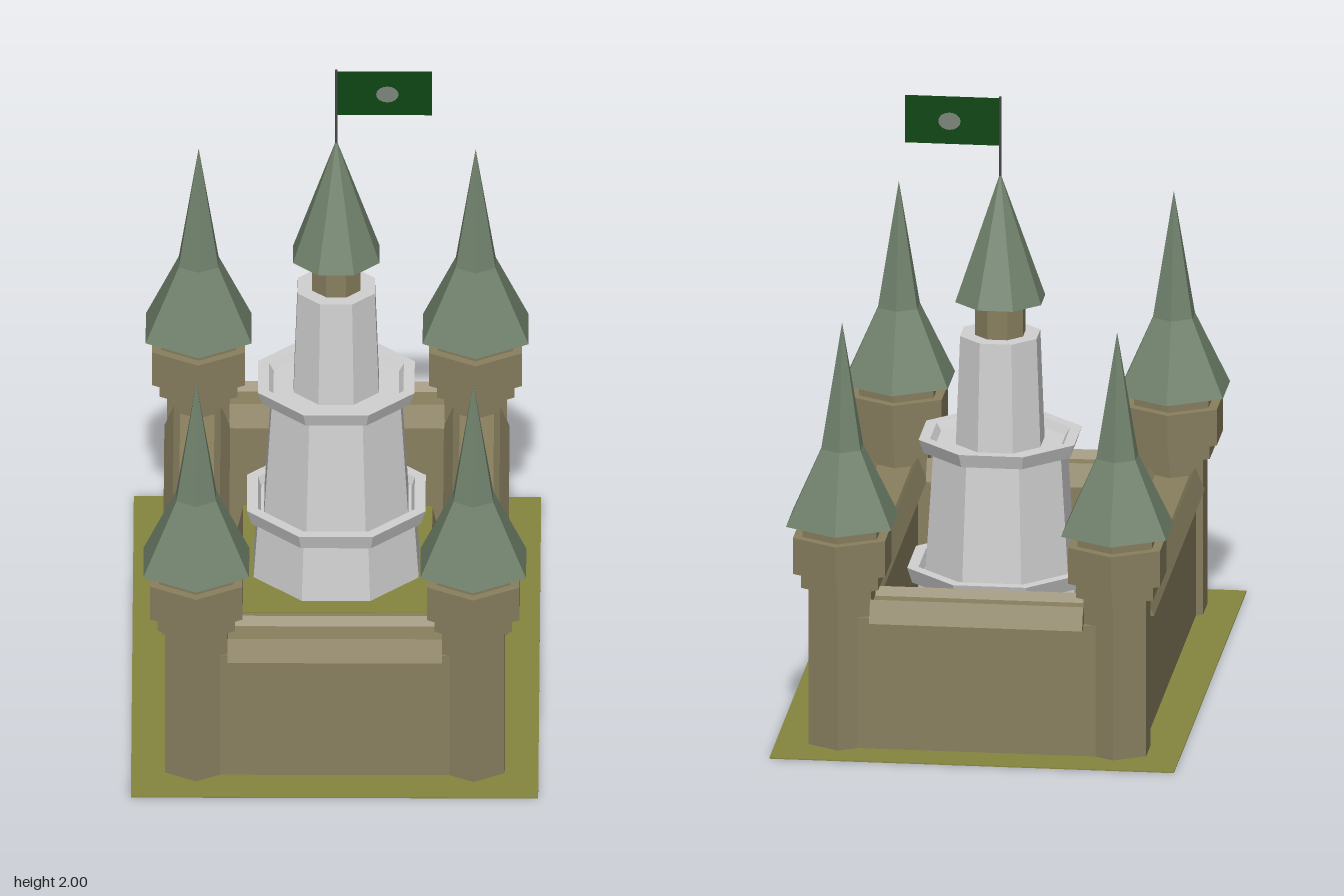
import * as THREE from 'three';

const material = (name, color) => {
  const m = new THREE.MeshStandardMaterial({ color });
  m.name = name;
  return m;
};

export function createModel() {
  const stone = material('brown stone', 0x8a8060);
  const grass = material('grass', 0x87873f);
  const white = material('pale stone', 0xd2d2d2);
  const slate = material('green roof', 0x71836d);
  const green = material('flag green', 0x0f4614);
  const dark = material('pole', 0x4a4a4a);
  const grey = material('flag spot', 0x7c857a);

  const castle = new THREE.Group();
  castle.name = 'castle';

  const add = (parent, name, geometry, mat, x = 0, y = 0, z = 0) => {
    const mesh = new THREE.Mesh(geometry, mat);
    mesh.name = name;
    mesh.position.set(x, y, z);
    parent.add(mesh);
    return mesh;
  };
  // Faceted turned solid from [radius, height] pairs, listed upwards
  const turned = (profile, sides, phase = 0) => {
    const points = profile.map(([r, y]) => new THREE.Vector2(r, y));
    const g = new THREE.LatheGeometry(points, sides, phase).toNonIndexed();
    g.computeVertexNormals();
    return g;
  };
  // Octagon with flats facing the axes, sized by half its width across flats
  const octagon = (profile) =>
    turned(profile.map(([a, y]) => [a / Math.cos(Math.PI / 8), y]), 8, Math.PI / 8);

  // Lawn
  add(castle, 'lawn', new THREE.BoxGeometry(1.3, 0.004, 1.95), grass, 0, 0.002, 0);

  // Corner towers: hexagonal shaft with stepped head and flared spire
  const shaft = turned([
    [0, 0], [0.116, 0], [0.116, 0.53], [0.143, 0.53], [0.143, 0.58], [0.171, 0.58],
    [0.171, 0.7], [0.138, 0.7], [0.138, 0.745], [0, 0.745],
  ], 6);
  const spire = turned([[0, 0.74], [0.195, 0.74], [0.073, 0.985], [0, 1.4]], 6);
  for (const x of [-0.442, 0.442]) {
    for (const z of [-0.76, 0.76]) {
      const tower = new THREE.Group();
      tower.name = 'cornerTower';
      tower.position.set(x, 0, z);
      add(tower, 'towerShaft', shaft, stone);
      add(tower, 'towerSpire', spire, slate);
      castle.add(tower);
    }
  }

  // Curtain walls: plain body with a channelled, sloping walkway on top
  const section = new THREE.Shape([
    [-0.105, 0.43], [0.105, 0.43], [0.075, 0.502], [0.055, 0.475],
    [-0.055, 0.475], [-0.075, 0.502],
  ].map(([x, y]) => new THREE.Vector2(x, y)));
  const addWall = (name, length, overlap, x, z, turn) => {
    const wall = new THREE.Group();
    wall.name = name;
    const walkway = new THREE.ExtrudeGeometry(section, { depth: length, bevelEnabled: false });
    walkway.translate(0, 0, -length / 2);
    add(wall, 'wallWalk', walkway, stone);
    add(wall, 'wallBody', new THREE.BoxGeometry(0.15, 0.44, length + overlap), stone, 0, 0.22, 0);
    wall.position.set(x, 0, z);
    wall.rotation.y = turn;
    castle.add(wall);
  };
  addWall('frontWall', 0.685, 0.08, 0, 0.757, Math.PI / 2);
  addWall('backWall', 0.685, 0.08, 0, -0.767, Math.PI / 2);
  addWall('leftWall', 1.36, 0.1, 0.446, 0, 0);
  addWall('rightWall', 1.36, 0.1, -0.446, 0, 0);

  // Keep mound: four-sided sloping stone bank with a grass top
  const mound = turned([
    [0.34 * Math.SQRT2, 0], [0.302 * Math.SQRT2, 0.2], [0, 0.2],
  ], 4, Math.PI / 4);
  mound.scale(1, 1, 1.145);
  mound.computeVertexNormals();
  add(castle, 'moundBank', mound, stone, 0.003, 0, -0.217);
  add(castle, 'moundTop', new THREE.BoxGeometry(0.604, 0.006, 0.69), grass, 0.003, 0.2, -0.217);

  // Raised path from the mound to the front wall
  add(castle, 'path', new THREE.BoxGeometry(0.152, 0.206, 0.55), stone, -0.003, 0.103, 0.415);

  // Keep: tapering octagonal stages with hollow parapets
  const keep = new THREE.Group();
  keep.name = 'keep';
  keep.position.set(0, 0, -0.208);
  add(keep, 'keepBody', octagon([
    [0.265, 0.18], [0.25, 0.4], [0.27, 0.4], [0.285, 0.45], [0.25, 0.45], [0.24, 0.42],
    [0.23, 0.42], [0.205, 0.83], [0.235, 0.83], [0.25, 0.875], [0.215, 0.875], [0.2, 0.85],
    [0.136, 0.85], [0.123, 1.21], [0, 1.21],
  ]), white);
  add(keep, 'keepNeck', octagon([[0.077, 1.2], [0.077, 1.34]]), stone);
  add(keep, 'keepRoof', octagon([[0, 1.325], [0.138, 1.325], [0, 1.745]]), slate);

  // Flag on its pole
  add(keep, 'flagPole', new THREE.CylinderGeometry(0.004, 0.004, 0.29, 6), dark, 0, 1.855, 0);
  add(keep, 'flag', new THREE.BoxGeometry(0.302, 0.158, 0.003), green, 0.155, 1.915, 0);
  const spot = new THREE.CylinderGeometry(0.036, 0.036, 0.005, 16);
  spot.rotateX(Math.PI / 2);
  spot.scale(1, 0.8, 1);
  add(keep, 'flagSpot', spot, grey, 0.163, 1.912, 0);
  castle.add(keep);

  return castle;
}
